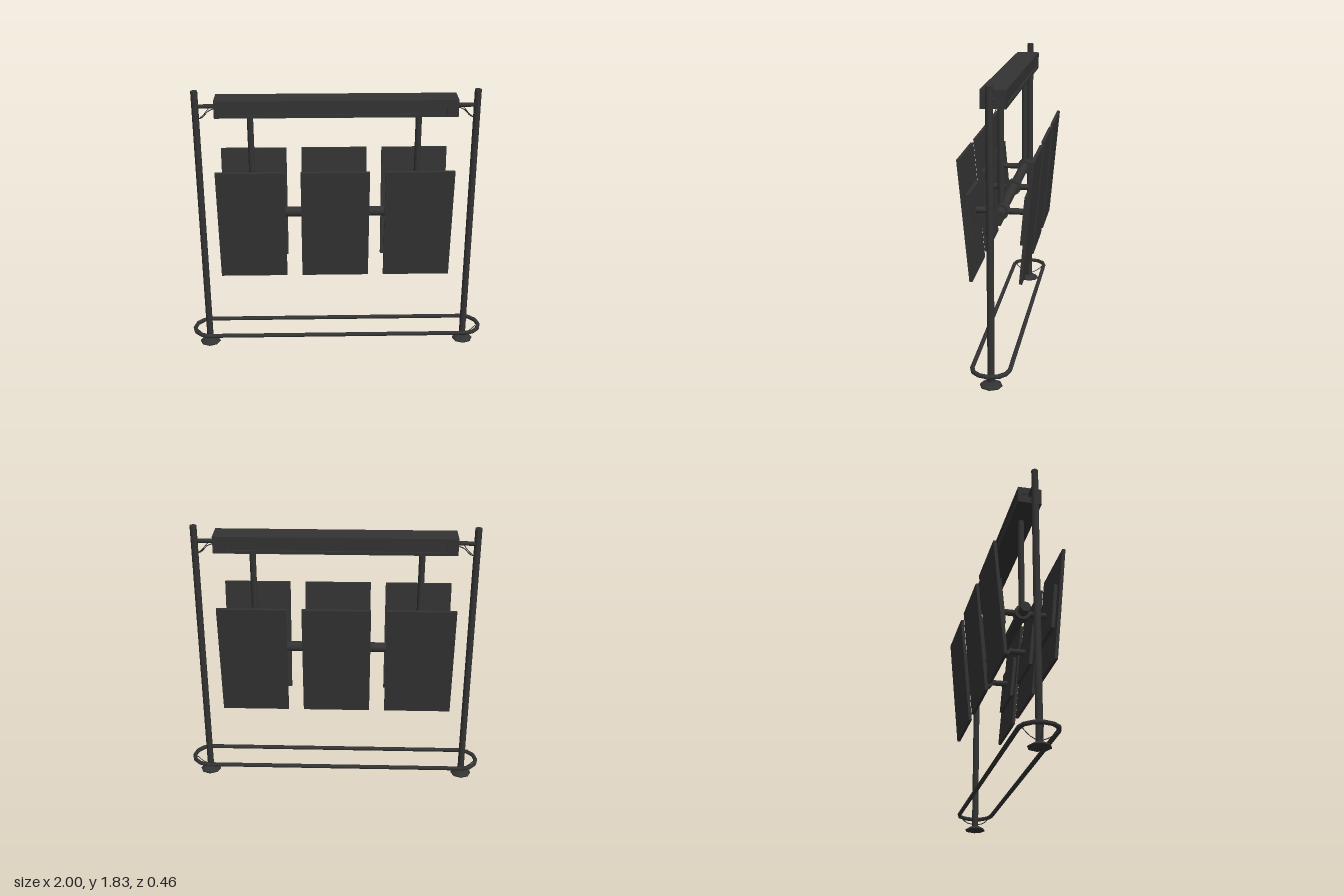
import * as THREE from 'three';

const material = new THREE.MeshStandardMaterial({ color: 0x333333 });

export function createModel() {
  const model = new THREE.Group();
  const Z = 0.006; // depth of the frame's centre line

  const add = (name, geometry, x = 0, y = 0, z = 0, parent = model) => {
    const mesh = new THREE.Mesh(geometry, material);
    mesh.name = name;
    mesh.position.set(x, y, z);
    parent.add(mesh);
    return mesh;
  };

  // Round bar between two points
  const bar = (name, a, b, radius, sides = 12) => {
    const from = new THREE.Vector3(...a), to = new THREE.Vector3(...b);
    const dir = to.clone().sub(from);
    const mesh = add(name, new THREE.CylinderGeometry(radius, radius, dir.length(), sides));
    mesh.position.copy(from).add(to).multiplyScalar(0.5);
    mesh.quaternion.setFromUnitVectors(new THREE.Vector3(0, 1, 0), dir.normalize());
    return mesh;
  };

  // Thin bent brace through a few points
  const brace = (name, ...points) => {
    const curve = new THREE.CatmullRomCurve3(points.map((p) => new THREE.Vector3(...p)));
    return add(name, new THREE.TubeGeometry(curve, 6, 0.003, 4));
  };

  const rect = (shape, w, h) => shape
    .moveTo(-w / 2, -h / 2).lineTo(w / 2, -h / 2).lineTo(w / 2, h / 2).lineTo(-w / 2, h / 2).closePath();

  // Posts, feet, stubs and braces at both ends
  for (const s of [-1, 1]) {
    const x = s < 0 ? -0.888 : 0.88;
    bar('post', [x, 0.04, Z], [x, 1.845, Z], 0.022);

    const profile = [[0, 0.012], [0.03, 0.014], [0.07, 0.025], [0.068, 0.032], [0.034, 0.052], [0, 0.054]];
    add('foot', new THREE.LatheGeometry(profile.map((p) => new THREE.Vector2(...p)), 8), x, 0, Z);

    bar('headerStub', [x, 1.745, Z], [s * 0.755, 1.745, Z], 0.014);
    for (const side of [-1, 1]) {
      brace('headerBrace', [x - s * 0.02, 1.665, Z], [x - s * 0.045, 1.68, Z + side * 0.02],
        [x - s * 0.085, 1.725, Z + side * 0.035], [x - s * 0.12, 1.745, Z + side * 0.05]);
      brace('railBrace', [x, 0.07, Z + side * 0.02], [x + s * 0.015, 0.085, Z + side * 0.06],
        [x + s * 0.025, 0.13, Z + side * 0.11]);
    }
    brace('railEndBrace', [x + s * 0.02, 0.07, Z], [x + s * 0.045, 0.08, Z], [x + s * 0.09, 0.125, Z]);
  }

  // Foot rail: stadium loop with faceted ends
  const loop = new THREE.CurvePath();
  const corners = [];
  for (let end = 0; end < 2; end++) {
    for (let i = 0; i <= 6; i++) {
      const a = Math.PI * (end + i / 6 - 0.5);
      corners.push(new THREE.Vector3((end ? -0.88 : 0.88) + 0.107 * Math.cos(a), 0.135, Z + 0.114 * Math.sin(a)));
    }
  }
  corners.forEach((p, i) => loop.add(new THREE.LineCurve3(p, corners[(i + 1) % corners.length])));
  // Rail swept ring by ring, mitred at the corners
  const sides = 8, positions = [], index = [];
  corners.forEach((p, i) => {
    const n = corners.length;
    const before = corners[(i + n - 1) % n], after = corners[(i + 1) % n];
    const out = new THREE.Vector3(after.z - before.z, 0, before.x - after.x).normalize();
    for (let j = 0; j < sides; j++) {
      const a = (j / sides) * Math.PI * 2;
      positions.push(p.x + out.x * 0.014 * Math.cos(a), p.y + 0.014 * Math.sin(a), p.z + out.z * 0.014 * Math.cos(a));
      const k = i * sides + j, l = i * sides + (j + 1) % sides;
      const k2 = ((i + 1) % n) * sides + j, l2 = ((i + 1) % n) * sides + (j + 1) % sides;
      index.push(k, l, k2, l, l2, k2);
    }
  });
  const railGeometry = new THREE.BufferGeometry();
  railGeometry.setAttribute('position', new THREE.Float32BufferAttribute(positions, 3));
  railGeometry.setIndex(index);
  railGeometry.computeVertexNormals();
  add('footRail', railGeometry);

  // Header box with a recessed panel front and back
  const header = new THREE.Group();
  header.name = 'header';
  header.position.set(-0.005, 1.745, Z);
  model.add(header);
  add('headerCore', new THREE.BoxGeometry(1.52, 0.11, 0.13), 0, 0, 0, header);
  const frame = rect(new THREE.Shape(), 1.52, 0.11);
  frame.holes.push(rect(new THREE.Path(), 1.375, 0.07));
  const frameGeometry = new THREE.ExtrudeGeometry(frame, { depth: 0.011, bevelEnabled: false });
  add('headerFrame', frameGeometry, 0, 0, 0.065, header);
  add('headerFrame', frameGeometry, 0, 0, -0.076, header);

  // Hanging rods and the beam they carry
  const columns = [-0.548, -0.016, 0.516];
  for (const x of [columns[0], columns[2]]) bar('hangingRod', [x, 1.015, 0], [x, 1.70, 0], 0.02);
  bar('beam', [-0.65, 1.015, 0], [0.62, 1.015, 0], 0.032, 16);

  // Display panels, leaning outward at the top on both sides
  for (const x of columns) {
    bar('crossArm', [x, 1.015, -0.165], [x, 1.015, 0.165], 0.02);
    const collar = add('collar', new THREE.CylinderGeometry(0.05, 0.05, 0.06, 16), x, 1.015, 0);
    collar.rotation.z = Math.PI / 2;
    for (const s of [-1, 1]) {
      const panel = new THREE.Group();
      panel.name = 'panel';
      panel.position.set(x, 1.004, s * 0.184);
      panel.rotation.x = s * 0.09;
      model.add(panel);
      add('panelBoard', new THREE.BoxGeometry(0.433, 0.757, 0.02), 0, 0, 0, panel);
      add('mountingPlate', new THREE.BoxGeometry(0.33, 0.3, 0.022), 0, 0, -s * 0.021, panel);
    }
  }

  return model;
}
